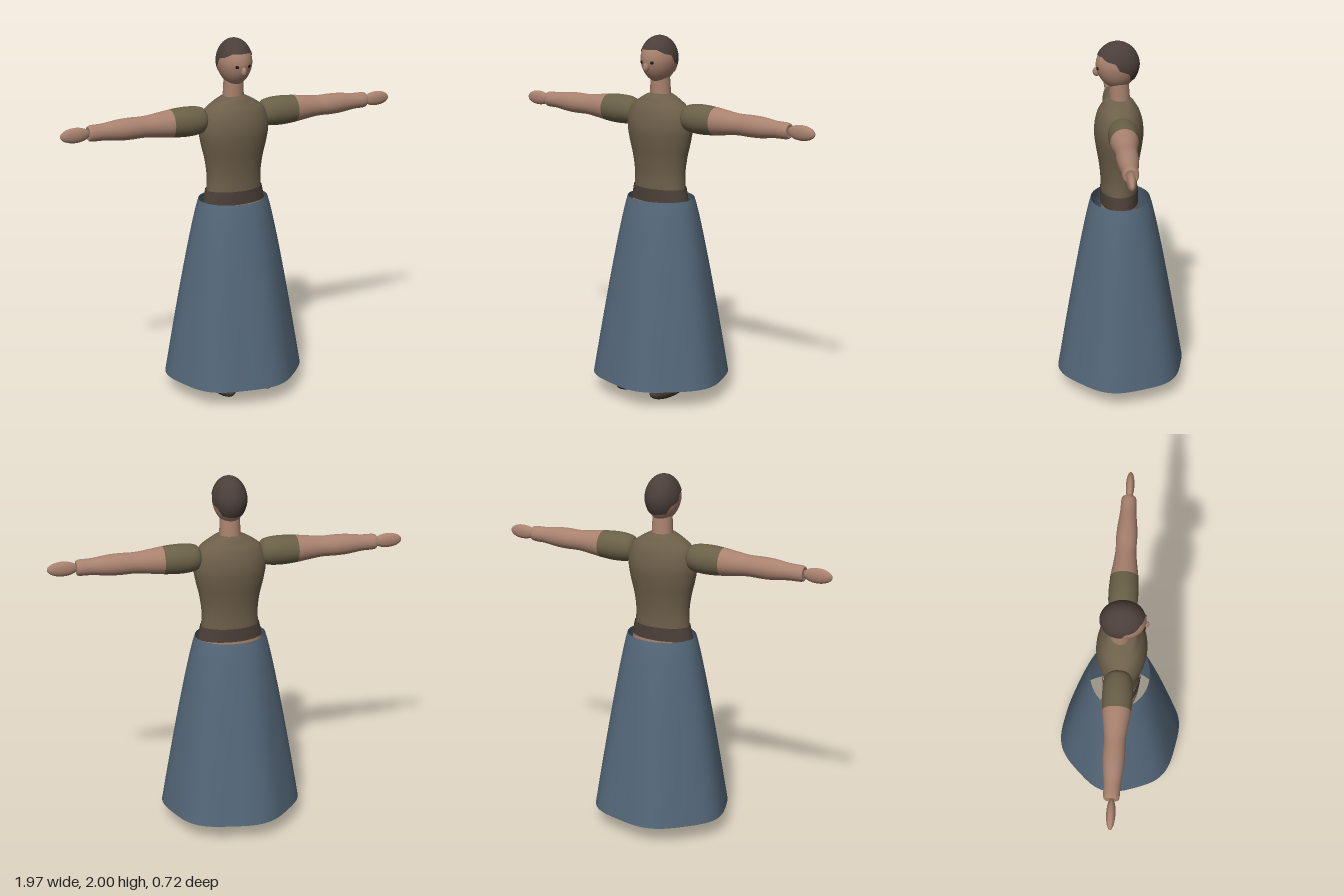
import * as THREE from 'three';

const mat = (name, color, side = THREE.FrontSide) => {
  const m = new THREE.MeshStandardMaterial({ color, side });
  m.name = name;
  return m;
};

// Closed-ring surface: point(u, angle) with u running upwards and angle 0 at the front
function surface(nu, nv, point) {
  const pos = [], idx = [];
  for (let i = 0; i <= nu; i++)
    for (let j = 0; j < nv; j++) pos.push(...point(i / nu, (j / nv) * Math.PI * 2));
  for (let i = 0; i < nu; i++)
    for (let j = 0; j < nv; j++) {
      const k = (j + 1) % nv;
      const a = i * nv + j, b = i * nv + k, c = a + nv, d = b + nv;
      idx.push(a, b, d, a, d, c);
    }
  const g = new THREE.BufferGeometry();
  g.setAttribute('position', new THREE.Float32BufferAttribute(pos, 3));
  g.setIndex(idx);
  g.computeVertexNormals();
  return g;
}

// Smooth loft through elliptical sections [y, rx, rz]
function loft(sections, cz = 0, steps = 6) {
  const curve = new THREE.CatmullRomCurve3(sections.map(s => new THREE.Vector3(...s)));
  return surface((sections.length - 1) * steps, 40, (u, a) => {
    const p = curve.getPoint(u);
    return [Math.max(p.y, 0) * Math.sin(a), p.x, cz + Math.max(p.z, 0) * Math.cos(a)];
  });
}

// Egg-shaped head, narrower towards the chin
const HEAD = { y: 1.871, z: 0.016 };
function headPoint(phi, a, grow = 0) {
  const s = Math.sin(phi), c = Math.cos(phi);
  const taper = s < 0 ? 1 + 0.1 * s : 1;
  return [
    (0.091 + grow) * c * Math.sin(a) * taper,
    HEAD.y + (0.125 + grow) * s,
    HEAD.z + (0.115 + grow) * c * Math.cos(a) * taper,
  ];
}

// Hairline height by angle from the front, in degrees
const HAIRLINE = [[0, 1.93], [38, 1.93], [60, 1.91], [84, 1.9], [94, 1.862], [120, 1.842], [135, 1.8], [180, 1.795]];
function hairline(a) {
  const d = THREE.MathUtils.radToDeg(Math.min(a, Math.PI * 2 - a));
  for (let i = 1; i < HAIRLINE.length; i++) {
    const [d0, y0] = HAIRLINE[i - 1], [d1, y1] = HAIRLINE[i];
    if (d <= d1 + 1e-6) return y0 + ((y1 - y0) * (d - d0)) / (d1 - d0);
  }
  return HAIRLINE[HAIRLINE.length - 1][1];
}

export function createModel() {
  const root = new THREE.Group();
  root.name = 'figure';
  const skin = mat('skin', 0xa9826f);
  const bodiceCloth = mat('bodiceCloth', 0x6d5f4a);
  const sleeveCloth = mat('sleeveCloth', 0x6a6047, THREE.DoubleSide);
  const skirtCloth = mat('skirtCloth', 0x546779, THREE.DoubleSide);
  const hairBrown = mat('hairBrown', 0x4b3f39, THREE.DoubleSide);
  const beltLeather = mat('beltLeather', 0x4c4038, THREE.DoubleSide);
  const shoeLeather = mat('shoeLeather', 0x493d35, THREE.DoubleSide);
  const eyeDark = mat('eyeDark', 0x201a18);

  const add = (name, geometry, material) => {
    const m = new THREE.Mesh(geometry, material);
    m.name = name;
    root.add(m);
    return m;
  };
  const ball = (rx, ry, rz, w = 32, h = 20) => new THREE.SphereGeometry(1, w, h).scale(rx, ry, rz);

  // Torso and waist
  add('bodice', loft([
    [1.165, 0.16, 0.1], [1.25, 0.157, 0.101], [1.34, 0.168, 0.111], [1.43, 0.189, 0.126],
    [1.5, 0.2, 0.133], [1.56, 0.196, 0.128], [1.615, 0.172, 0.112], [1.65, 0.13, 0.092],
    [1.68, 0.075, 0.072], [1.69, 0.045, 0.05],
  ], 0.009), bodiceCloth);
  add('belt', loft([[1.1, 0.181, 0.104], [1.14, 0.173, 0.104], [1.175, 0.165, 0.104]], 0.008), beltLeather);
  add('hips', loft([[0.86, 0.001, 0.001], [0.88, 0.1, 0.07], [0.98, 0.175, 0.1], [1.1, 0.176, 0.1], [1.13, 0.165, 0.098]], 0.005), skin);

  // Skirt: open cone with soft folds that deepen towards the hem
  add('skirt', surface(24, 96, (u, a) => {
    const t = Math.pow(1 - u, 0.86);
    const fold = 0.009 * t * Math.cos(6 * (a - THREE.MathUtils.degToRad(17)));
    const rx = 0.196 + 0.189 * t + fold, rz = 0.163 + 0.195 * t + fold;
    return [rx * Math.sin(a), 0.1 + 1.015 * u, rz * Math.cos(a)];
  }), skirtCloth);

  // Neck and head
  const neck = add('neck', new THREE.CylinderGeometry(0.053, 0.059, 0.17, 32).scale(1, 1, 0.95), skin);
  neck.position.set(0, 1.735, 0.006);
  neck.rotation.x = 0.05;
  add('head', surface(32, 48, (u, a) => headPoint((u - 0.5) * Math.PI, a)), skin);
  add('hair', surface(16, 96, (u, a) => {
    const low = Math.asin((hairline(a) - HEAD.y) / 0.129);
    return headPoint(low + (Math.PI / 2 - low) * u, a, 0.004);
  }), hairBrown);
  add('nose', ball(0.014, 0.025, 0.02, 20, 14).translate(0, 1.837, 0.127), skin);

  for (const [side, s] of [['left', 1], ['right', -1]]) {
    // Eyes
    const eye = add(side + 'Eye', ball(0.01, 0.009, 0.006, 16, 10), eyeDark);
    eye.position.set(s * 0.035, 1.863, 0.122);
    eye.rotation.y = s * 0.45;

    // Arms reach straight out sideways
    const outward = g => g.rotateZ(-s * Math.PI / 2).translate(0, 1.571, 0);
    add(side + 'Sleeve', outward(loft([
      [0.163, 0.001, 0.001], [0.168, 0.045, 0.045], [0.185, 0.066, 0.064], [0.22, 0.076, 0.075],
      [0.27, 0.08, 0.078], [0.32, 0.079, 0.077], [0.37, 0.075, 0.074],
    ], 0.002)), sleeveCloth);
    add(side + 'Arm', outward(loft([
      [0.34, 0.074, 0.073], [0.37, 0.0745, 0.0735], [0.44, 0.066, 0.064], [0.52, 0.057, 0.055],
      [0.6, 0.058, 0.056], [0.66, 0.056, 0.053], [0.75, 0.045, 0.043], [0.832, 0.039, 0.037],
      [0.833, 0.02, 0.02], [0.834, 0.001, 0.001],
    ], 0.002)), skin);
    add(side + 'Hand', ball(0.081, 0.04, 0.023).translate(s * 0.906, 1.571, 0.004), skin);

    // Legs, ankle cuffs and shoes
    const leg = add(side + 'Leg', loft([
      [0.06, 0.038, 0.038], [0.12, 0.04, 0.041], [0.25, 0.052, 0.055], [0.38, 0.06, 0.064],
      [0.52, 0.056, 0.058], [0.72, 0.076, 0.08], [0.95, 0.088, 0.09], [1.02, 0.06, 0.07],
    ]), skin);
    leg.position.set(s * 0.115, 0, -0.012);
    add(side + 'AnkleCuff', new THREE.CylinderGeometry(0.051, 0.049, 0.05, 32, 1, false)
      .translate(s * 0.12, 0.103, -0.012), shoeLeather);
    const shoe = ball(0.058, 0.054, 0.162, 32, 24).translate(s * 0.12, 0.047, 0.077);
    const p = shoe.attributes.position;
    for (let i = 0; i < p.count; i++) p.setY(i, Math.max(p.getY(i), 0)); // flat sole
    shoe.computeVertexNormals();
    add(side + 'Shoe', shoe, shoeLeather);
  }
  return root;
}
